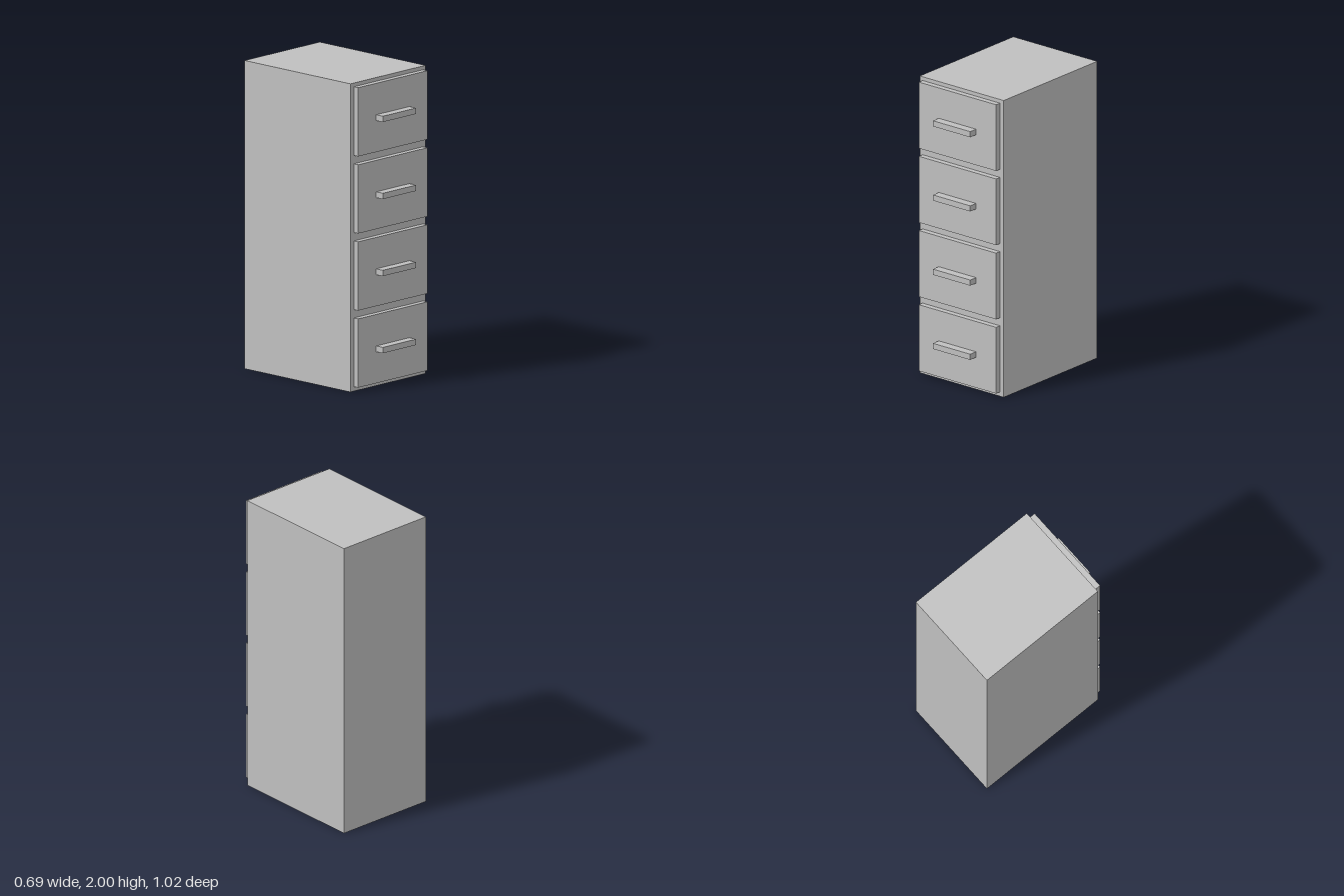
import * as THREE from 'three';

const greyMetal = new THREE.MeshStandardMaterial({ color: 0xc0c0c0 });
greyMetal.name = 'grey metal';

// Box given by its size, its centre height and its z range
function addBox(parent, name, width, height, y, zBack, zFront) {
  const depth = zFront - zBack;
  const mesh = new THREE.Mesh(new THREE.BoxGeometry(width, height, depth), greyMetal);
  mesh.name = name;
  mesh.position.set(0, y, zBack + depth / 2);
  parent.add(mesh);
}

export function createModel() {
  const cabinet = new THREE.Group();
  cabinet.name = 'filingCabinet';

  // Cabinet body
  addBox(cabinet, 'body', 0.69, 2, 1, -0.51, 0.41);

  // Four equal drawers, each a front panel with a bar handle
  const drawerCount = 4;
  const pitch = 0.5;
  for (let i = 0; i < drawerCount; i++) {
    const drawer = new THREE.Group();
    drawer.name = `drawer${i + 1}`;
    drawer.position.y = 0.254 + i * pitch;
    addBox(drawer, 'drawerFront', 0.636, 0.446, 0, 0.414, 0.452);
    addBox(drawer, 'handle', 0.306, 0.038, 0, 0.452, 0.51);
    cabinet.add(drawer);
  }
  return cabinet;
}
